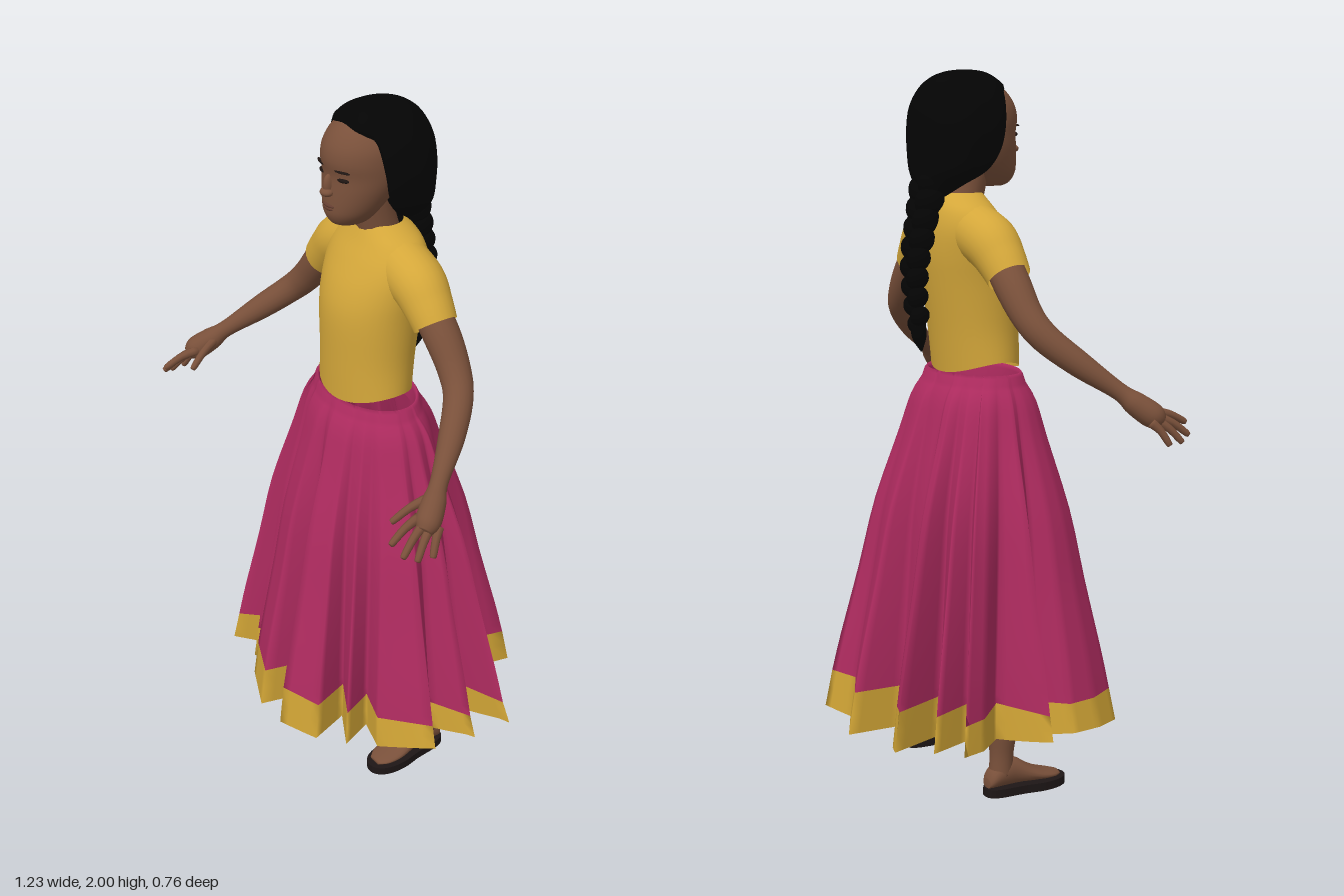
import * as THREE from 'three';

const mat = (name, color, side = THREE.FrontSide) => {
  const m = new THREE.MeshStandardMaterial({ color, side });
  m.name = name;
  return m;
};
const V = (x, y, z) => new THREE.Vector3(x, y, z);
const lerp = THREE.MathUtils.lerp;

// Skin a list of closed rings; the winding is set so that faces point outwards
function loft(rings, capStart = true, capEnd = true) {
  const n = rings[0].length, pos = [], idx = [];
  rings.forEach(r => r.forEach(p => pos.push(p.x, p.y, p.z)));
  for (let i = 0; i < rings.length - 1; i++) for (let j = 0; j < n; j++) {
    const a = i * n + j, b = i * n + (j + 1) % n;
    idx.push(a, b, b + n, a, b + n, a + n);
  }
  const cap = (row, flip) => {
    const c = V(0, 0, 0), k = pos.length / 3;
    rings[row].forEach(p => c.addScaledVector(p, 1 / n));
    pos.push(c.x, c.y, c.z);
    for (let j = 0; j < n; j++) {
      const a = row * n + j, b = row * n + (j + 1) % n;
      flip ? idx.push(k, b, a) : idx.push(k, a, b);
    }
  };
  if (capStart) cap(0, true);
  if (capEnd) cap(rings.length - 1, false);
  const mid = V(0, 0, 0), at = i => V(pos[3 * i], pos[3 * i + 1], pos[3 * i + 2]).sub(mid);
  rings.forEach(r => r.forEach(p => mid.addScaledVector(p, 1 / (n * rings.length))));
  let vol = 0;
  for (let i = 0; i < idx.length; i += 3) vol += at(idx[i]).dot(at(idx[i + 1]).cross(at(idx[i + 2])));
  if (vol < 0) idx.reverse();
  const g = new THREE.BufferGeometry();
  g.setAttribute('position', new THREE.Float32BufferAttribute(pos, 3));
  g.setIndex(idx);
  g.computeVertexNormals();
  return g;
}

// Smoothly subdivide a table of rows
function smooth(rows, k = 4) {
  const out = [], N = rows.length - 1, R = i => rows[Math.max(0, Math.min(N, i))];
  for (let i = 0; i < N; i++) for (let s = 0; s < k; s++) {
    const t = s / k;
    out.push(R(i).map((b, c) => {
      const a = R(i - 1)[c], d = R(i + 1)[c], e = R(i + 2)[c];
      return 0.5 * (2 * b + (d - a) * t + (2 * a - 5 * b + 4 * d - e) * t * t + (3 * b - a - 3 * d + e) * t ** 3);
    }));
  }
  return [...out, rows[N]];
}

// Level oval: [y, half width, front z, back z, dip of front and back]
const oval = ([y, w, zf, zb, dip = 0]) => Array.from({ length: 40 }, (_, i) => {
  const a = i / 40 * Math.PI * 2, c = Math.cos(a);
  return V(w * Math.sin(a), y - dip * c * c, (zf + zb) / 2 + c * (zf - zb) / 2);
});

// Hair section: squarer in front, with the middle pushed back behind the face
const hairOval = ([y, w, zf, zb, push]) => Array.from({ length: 64 }, (_, i) => {
  const a = i / 64 * Math.PI * 2, c = Math.cos(a), s = Math.sin(a), e = c > 0 ? 0.72 : 1;
  const x = w * Math.sign(s) * Math.abs(s) ** e, z = Math.sign(c) * Math.abs(c) ** e;
  const inner = c > 0 ? 1 - THREE.MathUtils.smoothstep(Math.abs(x) / w, .7, .86) : 0;
  return V(x, y, (zf + zb) / 2 + z * (zf - zb) / 2 - push * inner);
});

// Round limb along a path: each point is [x, y, z, radius]
function limb(pts, n = 16, steps = 6, caps = true) {
  const rings = smooth(pts, steps), P = rings.map(r => V(r[0], r[1], r[2]));
  return loft(rings.map((r, i) => {
    const t = P[Math.min(i + 1, P.length - 1)].clone().sub(P[Math.max(i - 1, 0)]).normalize();
    const u = t.clone().cross(V(1, 0, 0)).normalize(), v = t.clone().cross(u);
    return Array.from({ length: n }, (_, j) => {
      const a = j / n * Math.PI * 2;
      return P[i].clone().addScaledVector(u, r[3] * Math.cos(a)).addScaledVector(v, r[3] * Math.sin(a));
    });
  }), caps, caps);
}

// Skirt hem seen from above, as [x, z] corners of the pleats
const HEM = [[0, .2], [.05, .38], [.18, .34], [.14, .22], [.26, .29], [.22, .19], [.33, .23], [.46, .12],
  [.36, .06], [.49, 0], [.33, -.06], [.5, -.12], [.42, -.14], [.17, -.14], [.23, -.34], [.13, -.31],
  [.005, -.38], [-.005, -.22], [-.11, -.25], [-.16, -.33], [-.21, -.35], [-.14, -.17], [-.3, -.28],
  [-.24, -.14], [-.41, -.25], [-.38, -.17], [-.28, -.07], [-.46, 0], [-.32, .03], [-.4, .11], [-.39, .2],
  [-.34, .29], [-.22, .17], [-.24, .28], [-.13, .2], [-.18, .32], [-.05, .38]];

function skirtRings() {
  const K = 5, hem = [];
  const angle = ([x, z]) => (Math.atan2(x, z) + Math.PI * 2) % (Math.PI * 2);
  HEM.forEach((p, i) => {
    const q = HEM[(i + 1) % HEM.length], a = angle(p), b = i === HEM.length - 1 ? Math.PI * 2 : angle(q);
    for (let s = 0; s < K; s++) {
      const t = s / K;
      hem.push({ x: lerp(p[0], q[0], t), z: lerp(p[1], q[1], t), a: lerp(a, b, t) });
    }
  });
  const N = hem.length, W = 9;
  hem.forEach((h, i) => {
    h.sx = h.sz = 0;
    for (let k = -W; k <= W; k++) {
      const o = hem[(i + k + N) % N];
      h.sx += o.x / (2 * W + 1);
      h.sz += o.z / (2 * W + 1);
    }
  });
  // y falls evenly to the band; the band then drops by `drop` to the uneven hem
  const ring = (y, s, drop = 0, k = 1) => hem.map(h => {
    const f = 0.35 + 0.65 * Math.min(1, (1.15 - y) / 0.87), hemY = 0.165 + 0.055 * Math.min(1, (h.x / 0.47) ** 2);
    return V(lerp(.178 * k * Math.sin(h.a), lerp(h.sx, h.x, f), s), lerp(y, hemY, drop),
      lerp(.025 + .115 * k * Math.cos(h.a), lerp(h.sz, h.z, f), s));
  });
  const spread = smooth([[1.15, .05], [1.1, .18], [1, .31], [.8, .56], [.6, .71], [.4, .86], [.285, .93]], 3);
  const cloth = [ring(1.12, 0, 0, .93), ring(1.165, 0, 0, .94), ring(1.178, 0, 0, .98), ring(1.17, .02),
    ...spread.map(([y, s]) => ring(y, s))];
  return { cloth, trim: [ring(.285, .93), ring(.285, .965, .5), ring(.285, 1, 1)] };
}

export function createModel() {
  const model = new THREE.Group();
  const skin = mat('brown skin', 0x79503a), black = mat('black hair', 0x040404);
  const yellow = mat('yellow cotton', 0xd4a73a, THREE.DoubleSide);
  const pink = mat('pink cloth', 0xae2b5f, THREE.DoubleSide);
  const gold = mat('gold trim', 0xcfa335, THREE.DoubleSide);
  const lip = mat('lip brown', 0x633d30), dark = mat('dark eye', 0x1e1512), sole = mat('sandal brown', 0x1d1616);
  const add = (name, geo, m, parent = model) => {
    const mesh = new THREE.Mesh(geo, m);
    mesh.name = name;
    parent.add(mesh);
    return mesh;
  };
  const blob = (name, m, p, r, parent = model) => {
    const b = add(name, new THREE.SphereGeometry(1, 18, 12), m, parent);
    b.position.set(...p);
    b.scale.set(...r);
    return b;
  };

  // Skirt and its hem band
  const { cloth, trim } = skirtRings();
  add('skirt', loft(cloth, false, false), pink);
  add('skirtTrim', loft(trim, false, false), gold);

  // Blouse body, open at waist and neck
  add('blouse', loft(smooth([[1.21, .155, .14, -.08, .035], [1.3, .15, .142, -.095, .01], [1.42, .156, .142, -.115, 0],
    [1.5, .165, .125, -.125, 0], [1.57, .17, .093, -.125, 0], [1.62, .145, .065, -.115, 0],
    [1.65, .1, .05, -.1, 0], [1.67, .065, .04, -.08, 0]]).map(oval), false, false), yellow);

  // Neck and head
  add('neck', limb([[0, 1.58, -.03, .06], [0, 1.67, -.005, .056], [0, 1.76, .015, .058]]), skin);
  add('head', loft(smooth([[1.685, .03, .115, .03], [1.695, .046, .135, .015], [1.72, .068, .148, -.005],
    [1.75, .085, .149, -.03], [1.79, .1, .146, -.06], [1.83, .109, .143, -.09], [1.87, .111, .148, -.1],
    [1.91, .107, .138, -.11], [1.95, .085, .107, -.1], [1.98, .04, .055, -.05]]).map(oval)), skin);
  blob('noseBridge', skin, [0, 1.803, .144], [.012, .03, .016]);
  blob('noseTip', skin, [0, 1.785, .15], [.02, .012, .018]);
  blob('upperLip', lip, [0, 1.748, .144], [.025, .006, .01]);
  blob('lowerLip', lip, [0, 1.739, .143], [.021, .007, .01]);

  // Hair cap, gathered at the nape
  add('hair', loft(smooth([[1.65, .025, -.09, -.14, 0], [1.69, .075, -.03, -.15, .01], [1.73, .122, .035, -.158, .04],
    [1.78, .14, .075, -.162, .06], [1.84, .147, .092, -.163, .06], [1.9, .134, .1, -.158, .045], [1.95, .104, .096, -.135, 0],
    [1.98, .073, .073, -.1, 0], [1.995, .04, .045, -.06, 0], [2, .012, .01, -.02, 0]]).map(hairOval)), black);

  // Plait of crossed strands
  const plait = new THREE.Group();
  plait.name = 'plait';
  model.add(plait);
  const path = new THREE.CatmullRomCurve3([V(0, 1.7, -.115), V(0, 1.6, -.138), V(0, 1.48, -.162), V(0, 1.37, -.16), V(0, 1.31, -.15)]);
  for (let i = 0; i < 16; i++) {
    const t = i / 15, s = i % 2 ? 1 : -1, r = lerp(.044, .026, t), p = path.getPointAt(t);
    blob('strand', black, [s * r * .5, p.y, p.z], [r * .9, r * 1.1, r], plait).rotation.z = -s * .6;
  }
  add('plaitEnd', limb([[0, 1.33, -.152, .016], [0, 1.28, -.15, .021], [0, 1.235, -.142, .002]], 10), black, plait);

  // Paired parts, built on the left and mirrored
  for (const s of [1, -1]) {
    const side = new THREE.Group();
    side.name = s > 0 ? 'leftSide' : 'rightSide';
    model.add(side);
    const put = (name, pts, m, n, steps, caps) =>
      add(name, limb(pts.map(([x, y, z, r]) => [s * x, y, z, r]), n, steps, caps), m, side);

    // Eye and brow
    blob('eye', dark, [s * .045, 1.826, .13], [.018, .006, .008], side).rotation.y = s * .35;
    blob('brow', dark, [s * .047, 1.85, .135], [.024, .003, .006], side).rotation.y = s * .35;

    // Sleeve, arm and hand
    put('sleeve', [[.08, 1.57, -.022, .078], [.165, 1.54, -.02, .076], [.215, 1.496, -.017, .067], [.25, 1.455, -.015, .06]], yellow, 24, 5, false);
    put('arm', [[.19, 1.52, -.015, .05], [.27, 1.438, -.018, .05], [.335, 1.362, -.012, .044], [.385, 1.307, .012, .04],
      [.445, 1.24, .08, .035], [.505, 1.17, .165, .024], [.53, 1.138, .2, .032], [.557, 1.105, .24, .034], [.567, 1.09, .26, .02]], skin, 18);
    [[[.533, 1.112, .25], [.55, 1.078, .352]], [[.553, 1.102, .25], [.583, 1.05, .338]],
      [[.566, 1.095, .24], [.6, 1.035, .305]], [[.576, 1.092, .22], [.606, 1.032, .26]],
      [[.513, 1.142, .2], [.482, 1.088, .3]]].forEach(([a, b], i) => {
      const m = a.map((v, k) => (v + b[k]) / 2 + (k === 1 ? .008 : 0));
      put(i === 4 ? 'thumb' : 'finger', [[...a, .014], [...m, .011], [...b.map((v, k) => lerp(m[k], v, .9)), .009], [...b, .003]], skin, 8, 3);
    });

    // Leg and foot
    put('leg', [[.13, .75, 0, .08], [.18, .5, 0, .058], [.215, .33, -.02, .055], [.226, .2, -.018, .044], [.228, .12, -.02, .034], [.228, .06, -.022, .034]], skin, 20);
    add('foot', loft(smooth([[-.068, .018, .05], [-.055, .03, .075], [-.02, .034, .105], [.02, .034, .1], [.06, .041, .075],
      [.1, .045, .055], [.14, .038, .042], [.165, .02, .035]]).map(([z, w, top]) => Array.from({ length: 20 }, (_, j) => {
      const a = j / 20 * Math.PI * 2;
      return V(s * .228 + w * Math.cos(a), .022 + (top - .022) * (.5 + .5 * Math.sin(a)), z);
    }))), skin, side);

    // Sandal sole
    const shape = new THREE.Shape();
    shape.moveTo(0, -.185);
    shape.bezierCurveTo(.045, -.185, .06, -.12, .046, -.06);
    shape.bezierCurveTo(.03, 0, .05, .075, 0, .075);
    shape.bezierCurveTo(-.05, .075, -.03, 0, -.046, -.06);
    shape.bezierCurveTo(-.06, -.12, -.045, -.185, 0, -.185);
    const g = new THREE.ExtrudeGeometry(shape, { depth: .024, bevelEnabled: false, curveSegments: 10 });
    g.rotateX(-Math.PI / 2);
    add('sandal', g, sole, side).position.set(s * .23, 0, 0);
  }
  return model;
}
